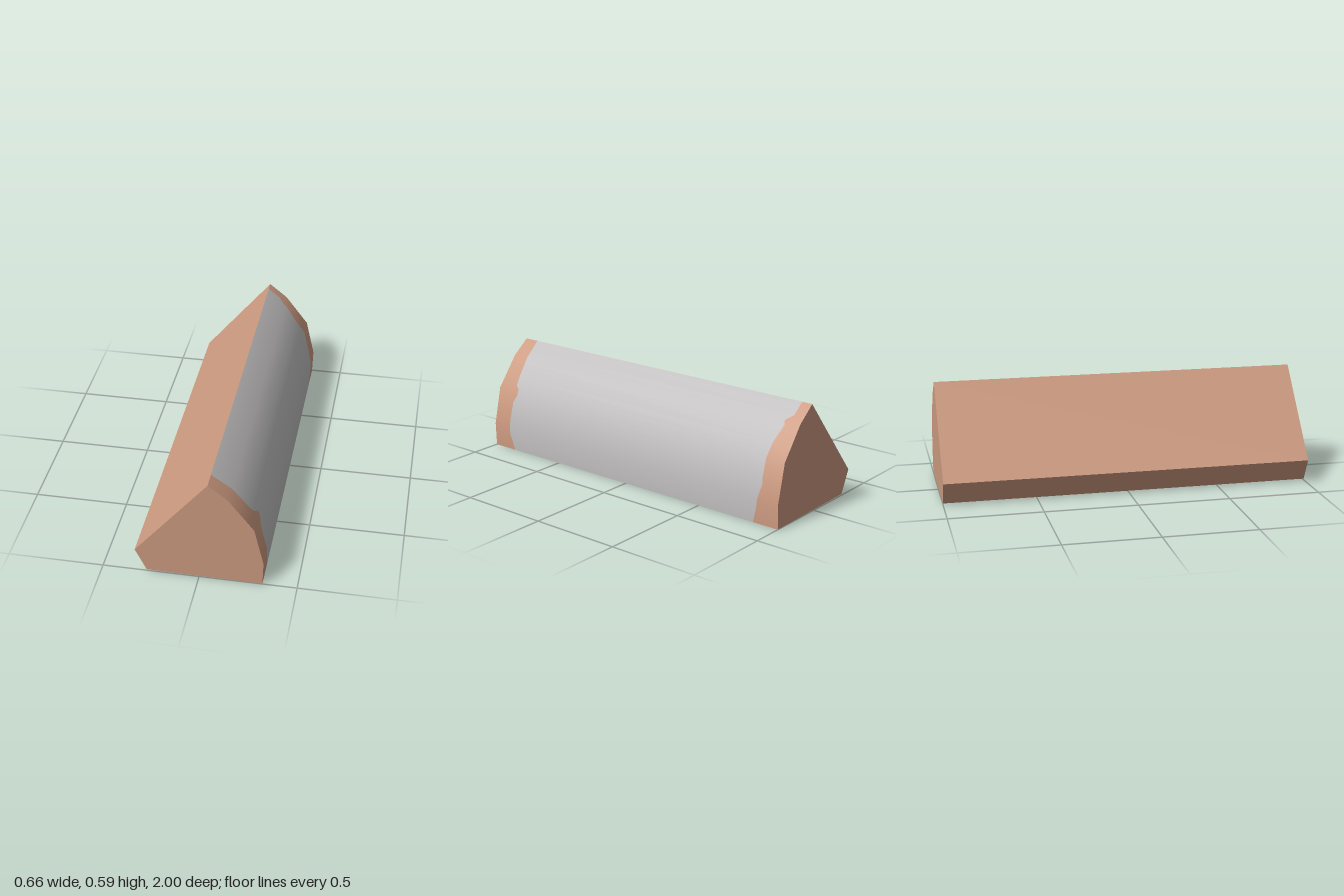
import * as THREE from 'three';

// cross-section, counter-clockwise from the lower bark edge
const bark = [[0.324, 0], [0.328, 0.133], [0.28, 0.34], [0.151, 0.508], [0.05, 0.588]];
const split = [[0.05, 0.588], [-0.329, 0.13], [-0.271, 0.007], [0.324, 0]];

// ragged ends of the bark as [height, z]
const frontEdge = [[0, 0.85], [0.05, 0.865], [0.09, 0.88], [0.18, 0.885], [0.28, 0.88], [0.32, 0.855],
  [0.35, 0.855], [0.37, 0.885], [0.41, 0.892], [0.5, 0.9], [0.588, 0.912]];
const backEdge = [[0, -0.848], [0.075, -0.865], [0.145, -0.875], [0.21, -0.89], [0.235, -0.885],
  [0.41, -0.89], [0.49, -0.915], [0.51, -0.905], [0.535, -0.94], [0.588, -0.94]];

// linear lookup of column k at height y in a list sorted by column c
function lookup(list, y, c, k) {
  let i = 0;
  while (i < list.length - 2 && y > list[i + 1][c]) i++;
  const t = (y - list[i][c]) / (list[i + 1][c] - list[i][c]);
  return THREE.MathUtils.lerp(list[i][k], list[i + 1][k], t);
}

function edgeNormal(a, b) {
  return new THREE.Vector2(b[1] - a[1], a[0] - b[0]).normalize();
}

// strip running along z; each row is { p, n, front, back }
function strip(rows) {
  const pos = [], nor = [], idx = [];
  rows.forEach(({ p, n, front, back }, i) => {
    pos.push(p[0], p[1], front, p[0], p[1], back);
    nor.push(n.x, n.y, 0, n.x, n.y, 0);
    if (i < rows.length - 1) {
      const a = i * 2;
      idx.push(a, a + 1, a + 2, a + 1, a + 3, a + 2);
    }
  });
  const g = new THREE.BufferGeometry();
  g.setAttribute('position', new THREE.Float32BufferAttribute(pos, 3));
  g.setAttribute('normal', new THREE.Float32BufferAttribute(nor, 3));
  g.setIndex(idx);
  return g;
}

export function createModel() {
  const group = new THREE.Group();
  const wood = new THREE.MeshStandardMaterial({ color: 0xcc9a80 });
  wood.name = 'wood';
  const grey = new THREE.MeshStandardMaterial({ color: 0xbfbdbe });
  grey.name = 'bark grey';

  const add = (name, geometry, material) => {
    const mesh = new THREE.Mesh(geometry, material);
    mesh.name = name;
    group.add(mesh);
  };

  // flat split faces
  ['slopingSplitFace', 'narrowSplitFace', 'undersideFace'].forEach((name, i) => {
    const n = edgeNormal(split[i], split[i + 1]);
    add(name, strip([split[i], split[i + 1]].map((p) => ({ p, n, front: 1, back: -1 }))), wood);
  });

  // cut ends
  const outline = [...bark, ...split.slice(1, 3)];
  for (const s of [1, -1]) {
    const shape = new THREE.Shape(outline.map(([x, y]) => new THREE.Vector2(x * s, y)));
    const cap = new THREE.ShapeGeometry(shape);
    if (s < 0) cap.rotateY(Math.PI);
    cap.translate(0, 0, s);
    add(s > 0 ? 'frontCutEnd' : 'backCutEnd', cap, wood);
  }

  // smooth normals around the rounded side
  const normals = bark.map((p, i) => {
    const n = new THREE.Vector2();
    if (i > 0) n.add(edgeNormal(bark[i - 1], p));
    if (i < bark.length - 1) n.add(edgeNormal(p, bark[i + 1]));
    n.normalize();
    return [p[1], n.x, n.y];
  });

  // rounded side, divided into bark and bare wood at both ends
  const heights = [...new Set([...bark.map((p) => p[1]), ...frontEdge.map((e) => e[0]),
    ...backEdge.map((e) => e[0])])].sort((a, b) => a - b);
  const roundedSide = (front, back) => strip(heights.map((y) => ({
    p: [lookup(bark, y, 1, 0), y],
    n: new THREE.Vector2(lookup(normals, y, 0, 1), lookup(normals, y, 0, 2)).normalize(),
    front: front(y),
    back: back(y),
  })));
  const frontZ = (y) => lookup(frontEdge, y, 0, 1);
  const backZ = (y) => lookup(backEdge, y, 0, 1);
  add('frontBareRim', roundedSide(() => 1, frontZ), wood);
  add('bark', roundedSide(frontZ, backZ), grey);
  add('backBareRim', roundedSide(backZ, () => -1), wood);

  return group;
}
